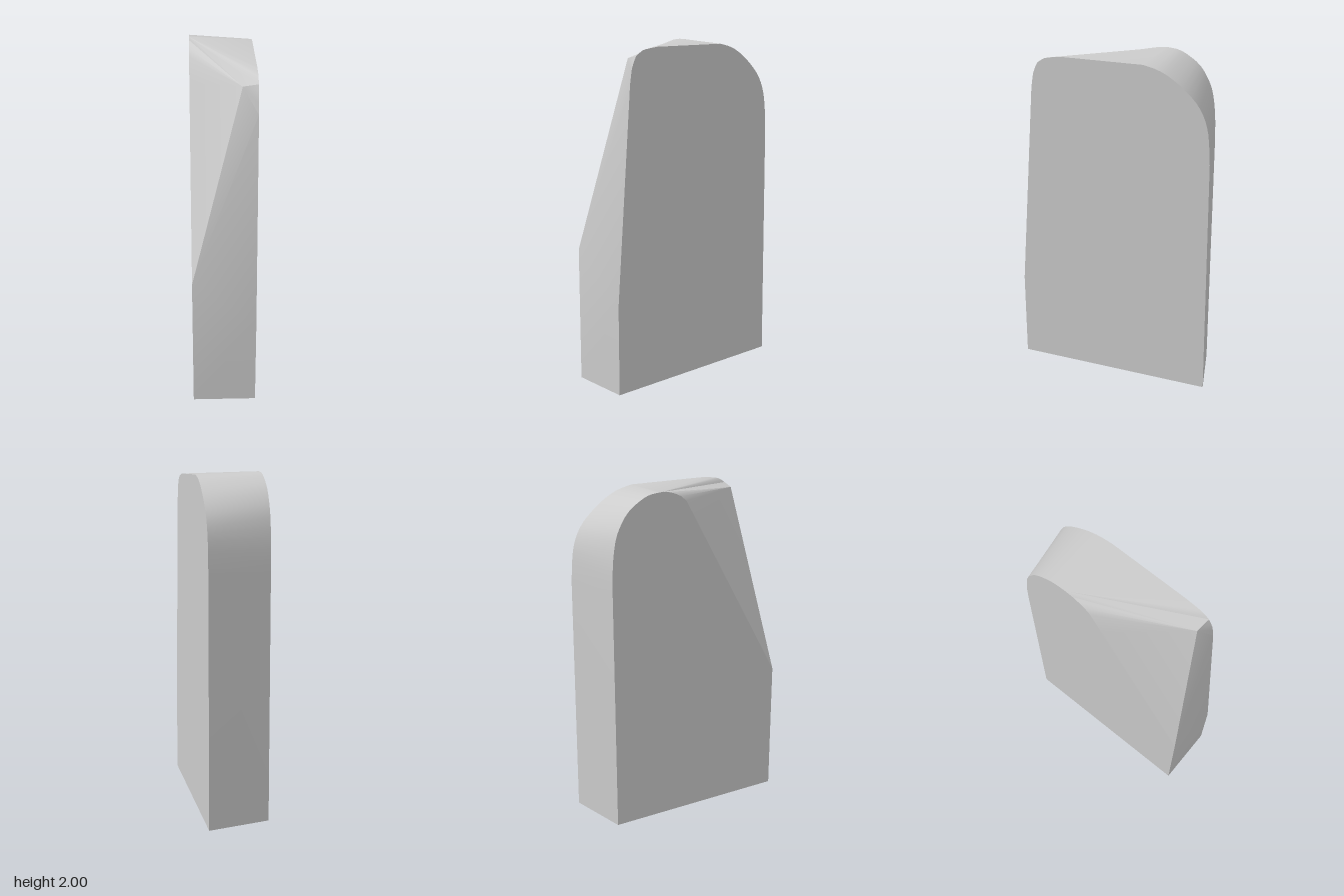
import * as THREE from 'three';
import { toCreasedNormals } from 'three/addons/utils/BufferGeometryUtils.js';

const HALF = 0.184;

// smooth run through [z, y] points
function smooth(points, samples) {
  return new THREE.SplineCurve(points.map(p => new THREE.Vector2(...p)))
    .getPoints(samples).map(p => [p.x, p.y]);
}

export function createModel() {
  // side outlines as [z, y], each running back foot -> top -> front foot
  const rearSteps = 18;
  const leftRear = [[-0.51, 0], ...smooth([[-0.51, 1.45], [-0.505, 1.62], [-0.485, 1.76],
    [-0.45, 1.845], [-0.4, 1.915], [-0.33, 1.965], [-0.27, 1.992], [-0.2, 2]], rearSteps)];
  const rightRear = [[-0.6, 0], ...smooth([[-0.592, 1.45], [-0.58, 1.61], [-0.555, 1.71],
    [-0.51, 1.79], [-0.44, 1.86], [-0.36, 1.92], [-0.28, 1.96], [-0.19, 1.982]], rearSteps)];
  const leftCut = [[-0.2, 2], [-0.15, 1.996], [-0.11, 1.984], [-0.07, 1.965],
    [-0.035, 1.935], [0.04, 1.8], [0.6, 0.8]];
  const rightTop = [[-0.19, 1.982], ...smooth([[0.3, 1.98], [0.36, 1.973], [0.41, 1.963], [0.455, 1.935]], 6)];
  const rightFront = [...smooth([[0.455, 1.935], [0.482, 1.88], [0.492, 1.83], [0.5, 1.78]], 5), [0.6, 0.53]];

  const L = ([z, y]) => [-HALF, y, z];
  const R = ([z, y]) => [HALF, y, z];
  const pos = [];
  const tri = (a, b, c) => pos.push(...a, ...b, ...c);

  // back wall and rounded rear shoulder
  for (let i = 0; i + 1 < leftRear.length; i++) {
    const l = L(leftRear[i]), l2 = L(leftRear[i + 1]), r = R(rightRear[i]), r2 = R(rightRear[i + 1]);
    tri(l, l2, r2);
    tri(l, r2, r);
  }

  // top surface fanning from the peak
  const peak = L(leftCut[0]), apex = [0.1, 1.92, 0.445], corner = L([0.6, 0.8]);
  for (let i = 0; i + 1 < rightTop.length; i++) tri(peak, R(rightTop[i + 1]), R(rightTop[i]));
  tri(peak, apex, R(rightTop.at(-1)));

  // slanted cut across the front corner
  for (let i = 0; i + 1 < leftCut.length; i++) tri(L(leftCut[i]), L(leftCut[i + 1]), apex);

  // leaning front panel
  const n = rightFront.length;
  for (let i = 0; i + 2 < n; i++) tri(apex, R(rightFront[i + 1]), R(rightFront[i]));
  tri(corner, R(rightFront[n - 2]), apex);
  tri(corner, R(rightFront[n - 1]), R(rightFront[n - 2]));

  // lower front and underside
  const lf = L([0.6, 0]), rf = R([0.6, 0]), lb = L(leftRear[0]), rb = R(rightRear[0]);
  tri(corner, lf, R(rightFront[n - 1]));
  tri(lf, rf, R(rightFront[n - 1]));
  tri(lf, lb, rf);
  tri(lb, rb, rf);

  // flat sides
  const cap = (outline, place, flip) => {
    const flat = outline.map(([z, y]) => new THREE.Vector2(-z, y));
    for (const [a, b, c] of THREE.ShapeUtils.triangulateShape(flat, [])) {
      const p = [a, b, c].map(i => place(outline[i]));
      if (flip) p.reverse();
      tri(...p);
    }
  };
  cap([...leftRear, ...leftCut.slice(1), [0.6, 0]], L, true);
  cap([...rightRear, ...rightTop.slice(1), ...rightFront.slice(1), [0.6, 0]], R, false);

  const geometry = new THREE.BufferGeometry();
  geometry.setAttribute('position', new THREE.Float32BufferAttribute(pos, 3));
  const slab = new THREE.Mesh(toCreasedNormals(geometry, 0.4),
    new THREE.MeshStandardMaterial({ color: 0xcccccc }));
  slab.name = 'slab';

  const group = new THREE.Group();
  group.name = 'standingSlab';
  group.add(slab);
  return group;
}
